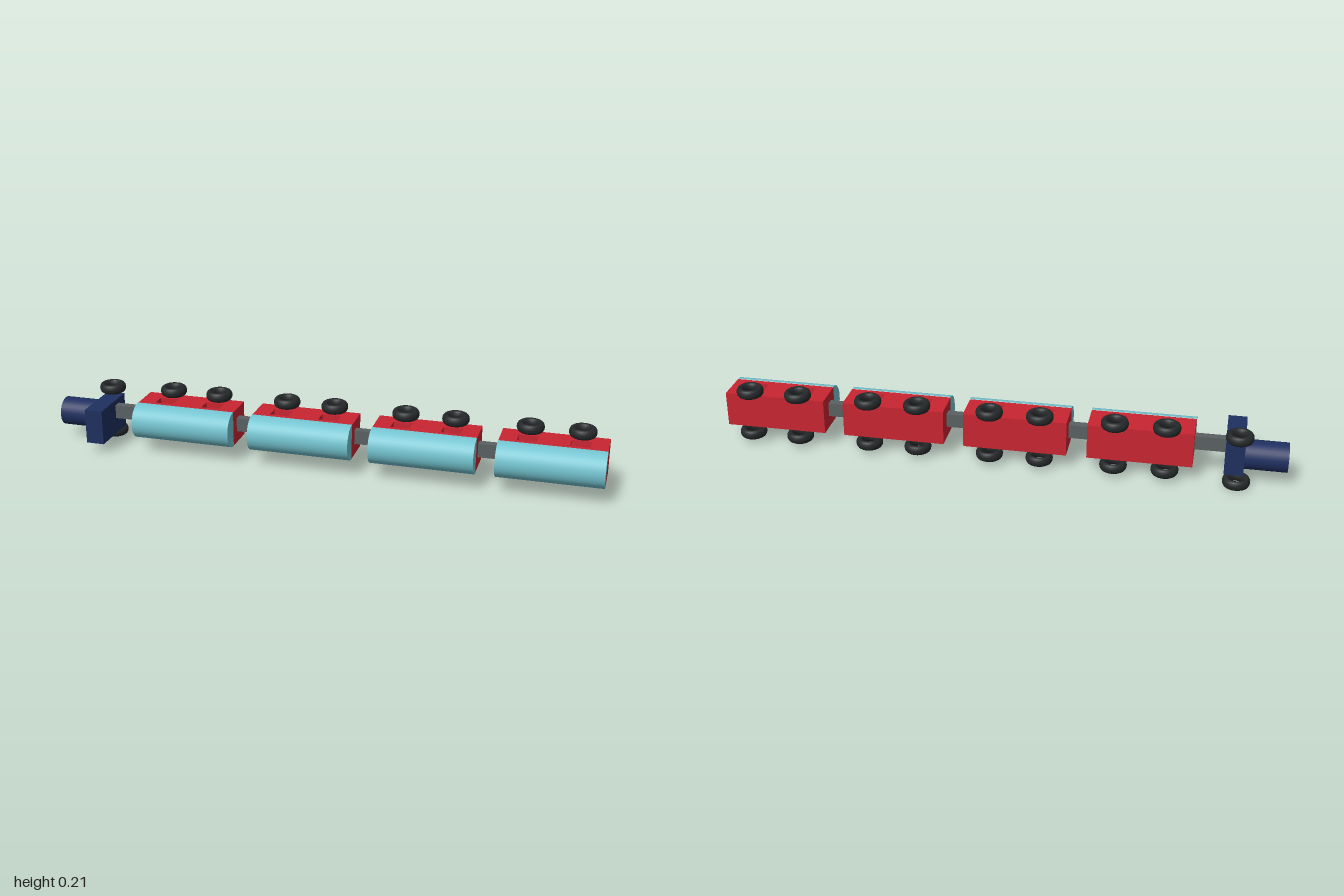
import * as THREE from 'three';

const paint = (color) => new THREE.MeshStandardMaterial({ color });
const RED = paint(0xc92530), CYAN = paint(0x74c4d0), NAVY = paint(0x1f3060);
const BLACK = paint(0x25282a), GREY = paint(0x5a6062);

const LENGTH = 0.366;      // carriage length
const PITCH = 0.4377;      // distance between carriages
const AXLE = 0.089;        // wheel and window offset from carriage centre
const MID = 0.118;         // height of the carriage centre line

function add(parent, name, geometry, material, x = 0, y = 0, z = 0) {
  const mesh = new THREE.Mesh(geometry, material);
  mesh.name = name;
  mesh.position.set(x, y, z);
  parent.add(mesh);
  return mesh;
}

// Ring wheel lying flat, a little thicker along its axle
const wheelGeometry = new THREE.TorusGeometry(0.0355, 0.0125, 14, 32);
wheelGeometry.scale(1, 1, 1.42);
wheelGeometry.rotateX(Math.PI / 2);

function addWheelPair(parent, x, low, high) {
  for (const y of [low, high]) add(parent, 'wheel', wheelGeometry, BLACK, x, y, -0.076);
}

function rectangle(target, x0, y0, x1, y1) {
  target.moveTo(x0, y0);
  target.lineTo(x1, y0);
  target.lineTo(x1, y1);
  target.lineTo(x0, y1);
  target.closePath();
  return target;
}

// Carriage body with two windows cut right through
const bodyShape = rectangle(new THREE.Shape(), -LENGTH / 2, -0.077, LENGTH / 2, 0.043);
for (const x of [-AXLE, AXLE]) {
  bodyShape.holes.push(rectangle(new THREE.Path(), x - 0.034, -0.032, x + 0.034, 0.02));
}
const bodyGeometry = new THREE.ExtrudeGeometry(bodyShape, { depth: 0.126, bevelEnabled: false });
bodyGeometry.translate(0, 0, -0.063);
bodyGeometry.rotateX(Math.PI / 2);

// Half-round roof
const roofGeometry = new THREE.CylinderGeometry(0.065, 0.065, LENGTH, 32, 1, false, -Math.PI / 2, Math.PI);
roofGeometry.rotateZ(Math.PI / 2);

function createCarriage() {
  const carriage = new THREE.Group();
  carriage.name = 'carriage';
  add(carriage, 'carriageBody', bodyGeometry, RED, 0, MID, 0);
  add(carriage, 'carriageRoof', roofGeometry, CYAN, 0, MID, 0.042);
  for (const x of [-AXLE, AXLE]) addWheelPair(carriage, x, 0.038, 0.198);
  return carriage;
}

function createEngine() {
  const engine = new THREE.Group();
  engine.name = 'engine';
  add(engine, 'cab', new THREE.BoxGeometry(0.066, 0.127, 0.201), NAVY, -0.82, 0.1025, 0.0245);
  const boiler = add(engine, 'boiler', new THREE.CylinderGeometry(0.052, 0.052, 0.15, 32), NAVY, -0.925, 0.097, -0.021);
  boiler.rotation.z = Math.PI / 2;
  addWheelPair(engine, -0.831, 0.018, 0.187);
  return engine;
}

export function createModel() {
  const train = new THREE.Group();
  train.name = 'train';
  train.add(createEngine());

  let previousEnd = -0.787;
  for (let i = 0; i < 4; i++) {
    const carriage = createCarriage();
    carriage.position.x = -0.497 + i * PITCH;
    train.add(carriage);

    // Coupling bar to the vehicle ahead
    const start = carriage.position.x - LENGTH / 2;
    add(train, 'coupling', new THREE.BoxGeometry(start - previousEnd, 0.05, 0.03), GREY,
      (start + previousEnd) / 2, 0.122, -0.008);
    previousEnd = start + LENGTH;
  }
  return train;
}
